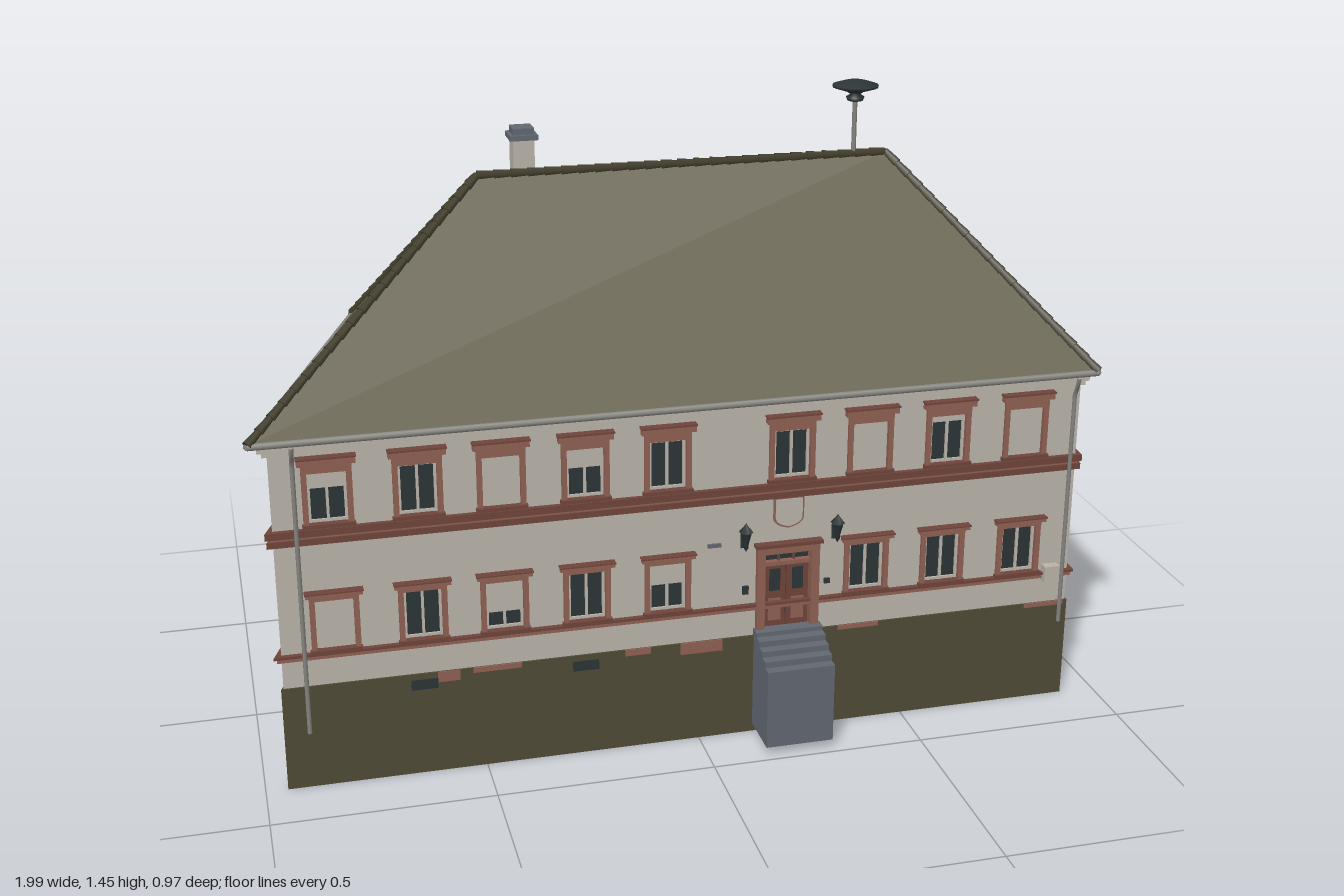
import * as THREE from 'three';

const paint = (name, color, side = THREE.FrontSide) => {
  const m = new THREE.MeshStandardMaterial({ color, side });
  m.name = name;
  return m;
};
const M = {
  wall: paint('plaster', 0xb9b3a9, THREE.DoubleSide),
  roof: paint('roof tiles', 0x5b5640, THREE.DoubleSide),
  plinth: paint('olive plinth', 0x4f4b37),
  red: paint('sandstone', 0x8f5f53),
  dark: paint('dark red', 0x6f443a),
  grey: paint('grey stone', 0x626771),
  black: paint('dark glass', 0x2c3436),
  lining: paint('green lining', 0x5b6d5e),
  ridge: paint('ridge tiles', 0x433f2e),
  metal: paint('gutter metal', 0x85837e),
};

function add(parent, name, geo, mat) {
  const m = new THREE.Mesh(geo, mat);
  m.name = name;
  parent.add(m);
  return m;
}
// Box given by its limits
function box(parent, name, mat, x0, x1, y0, y1, z0, z1) {
  const m = add(parent, name, new THREE.BoxGeometry(x1 - x0, y1 - y0, z1 - z0), mat);
  m.position.set((x0 + x1) / 2, (y0 + y1) / 2, (z0 + z1) / 2);
  return m;
}
// Round bar from a to b
function bar(parent, name, mat, a, b, r0, r1 = r0, sides = 8) {
  const d = b.clone().sub(a);
  const m = add(parent, name, new THREE.CylinderGeometry(r1, r0, d.length(), sides), mat);
  m.position.copy(a).add(b).multiplyScalar(0.5);
  m.quaternion.setFromUnitVectors(new THREE.Vector3(0, 1, 0), d.normalize());
  return m;
}

// Footprint corners as (x, -z): front left, front right, back right, back left
const foot = [[-0.945, -0.357], [0.912, -0.357], [0.955, 0.443], [-0.65, 0.443]].map(p => new THREE.Vector2(...p));
function offset(d) {
  return foot.map((p, i) => {
    const normal = (a, b) => new THREE.Vector2(b.y - a.y, a.x - b.x).normalize();
    const n1 = normal(foot[(i + 3) % 4], p), n2 = normal(p, foot[(i + 1) % 4]);
    return n1.clone().add(n2).multiplyScalar(d / (1 + n1.dot(n2))).add(p);
  });
}
// Course running all the way round the house
function ring(parent, name, mat, outer, inner, y0, y1) {
  const s = new THREE.Shape(offset(outer));
  s.holes.push(new THREE.Path(offset(inner)));
  const g = new THREE.ExtrudeGeometry(s, { depth: y1 - y0, bevelEnabled: false });
  g.rotateX(-Math.PI / 2).translate(0, y0, 0);
  return add(parent, name, g, mat);
}

const HALF = 0.042;
const sillOf = upper => (upper ? 0.637 : 0.338);

// Casement window; blind = covered share of the opening from the top
function makeWindow(parent, u, upper, blind) {
  const g = new THREE.Group();
  g.name = 'window';
  g.position.set(u, sillOf(upper), 0);
  parent.add(g);
  const h = 0.117, w = HALF, f = 0.006;
  box(g, 'glass', M.black, -w, w, 0, h, -0.014, -0.01);
  for (const s of [-1, 0, 1]) {
    const c = s * (w - f / 2);
    box(g, 'casement', M.wall, c - f / 2, c + f / 2, 0, h, -0.01, -0.004);
  }
  for (const y of [0, h - f]) box(g, 'casement', M.wall, -w, w, y, y + f, -0.01, -0.005);
  if (blind) box(g, 'blind', M.wall, -w + f, w - f, h * (1 - blind), h, -0.009, -0.003);
  for (const s of [-1, 1]) {
    const c = s * (w + 0.006);
    box(g, 'surround', M.red, c - 0.006, c + 0.006, -0.005, h, -0.012, 0.007);
  }
  const top = upper ? 0.138 : 0.129;
  box(g, 'lintel', M.red, -w - 0.012, w + 0.012, h, top, -0.012, 0.008);
  box(g, 'lintelCap', M.red, -w - 0.02, w + 0.02, top, top + (upper ? 0.014 : 0.009), 0, 0.018);
  box(g, 'lintelEdge', M.dark, -w - 0.022, w + 0.022, top + (upper ? 0.014 : 0.009), top + (upper ? 0.018 : 0.012), 0, 0.021);
  box(g, 'sill', M.dark, -w - 0.015, w + 0.015, -0.008, 0, -0.012, 0.013);
}

function makeDoor(parent, u) {
  const g = new THREE.Group();
  g.name = 'door';
  g.position.x = u;
  parent.add(g);
  box(g, 'doorBack', M.black, -0.055, 0.055, 0.25, 0.455, -0.018, -0.014);
  for (const s of [-1, 1]) {
    const c = s * 0.0275;
    box(g, 'doorLeaf', M.dark, c - 0.026, c + 0.026, 0.25, 0.423, -0.014, -0.006);
    box(g, 'doorPane', M.black, c - 0.013, c + 0.013, 0.355, 0.41, -0.006, -0.004);
    box(g, 'doorPanel', M.red, c - 0.015, c + 0.015, 0.28, 0.335, -0.006, -0.003);
    box(g, 'jamb', M.red, s * 0.065 - 0.01, s * 0.065 + 0.01, 0.25, 0.46, -0.015, 0.012);
  }
  box(g, 'transomBar', M.red, -0.055, 0.055, 0.42, 0.43, -0.014, 0);
  for (const x of [-0.018, 0.018]) box(g, 'transomBar', M.dark, x - 0.002, x + 0.002, 0.43, 0.455, -0.014, -0.005);
  box(g, 'doorLintel', M.red, -0.075, 0.075, 0.455, 0.474, -0.015, 0.014);
  box(g, 'doorCap', M.dark, -0.08, 0.08, 0.474, 0.482, 0, 0.022);
}

function makeLantern(parent, x) {
  const g = new THREE.Group();
  g.name = 'lantern';
  g.position.set(x, 0, 0.025);
  parent.add(g);
  const profile = [[0, 0.475], [0.006, 0.485], [0.006, 0.493], [0.013, 0.522], [0.017, 0.524], [0.005, 0.538], [0, 0.546]];
  add(g, 'lanternBody', new THREE.LatheGeometry(profile.map(p => new THREE.Vector2(...p)), 6), M.black);
  box(g, 'lanternArm', M.black, -0.003, 0.003, 0.486, 0.492, -0.025, 0);
  box(g, 'lanternPlate', M.black, -0.006, 0.006, 0.475, 0.51, -0.025, -0.021);
}

// One facade in its own frame: x runs along the wall, +z points outwards
function makeWall(parent, name, i, { windows = [], door, pipes = [], patches = [] }) {
  const a = foot[i], b = foot[(i + 1) % 4], len = a.distanceTo(b);
  const g = new THREE.Group();
  g.name = name;
  g.position.set(a.x, 0, -a.y);
  g.rotation.y = Math.atan2(b.y - a.y, b.x - a.x);
  parent.add(g);
  const rect = (C, x0, x1, y0, y1) => new C([[x0, y0], [x1, y0], [x1, y1], [x0, y1]].map(p => new THREE.Vector2(...p)));
  const s = rect(THREE.Shape, 0, len, 0.24, 0.835);
  for (const [u, upper] of windows) s.holes.push(rect(THREE.Path, u - HALF, u + HALF, sillOf(upper), sillOf(upper) + 0.117));
  if (door) s.holes.push(rect(THREE.Path, door - 0.055, door + 0.055, 0.25, 0.455));
  add(g, 'plaster', new THREE.ShapeGeometry(s), M.wall);
  for (const w of windows) makeWindow(g, ...w);
  if (door) makeDoor(g, door);
  for (const [u, end] of pipes) {
    const pts = [[0.825, 0.03], [0.81, 0.028], [0.785, 0.014], [0.74, 0.013], [end, 0.013]];
    const path = new THREE.CatmullRomCurve3(pts.map(p => new THREE.Vector3(u, ...p)), false, 'centripetal');
    add(g, 'downpipe', new THREE.TubeGeometry(path, 24, 0.005, 8), M.metal);
  }
  for (const [u0, u1, y] of patches) box(g, 'barePatch', M.red, u0, u1, y, 0.25, 0.002, 0.006);
}

export function createModel() {
  const house = new THREE.Group();
  house.name = 'house';

  // Facades: each window is [position, upper floor, blind share]
  const cols = [-0.824, -0.631, -0.449, -0.262, -0.075, 0.214, 0.4, 0.588, 0.78];
  const up = [0.32, 0, 1, 0.4, 0, 0, 1, 0.15, 1], low = [1, 0, 0.65, 0, 0.45, null, 0, 0, 0];
  const front = [];
  cols.forEach((x, i) => {
    front.push([x + 0.945, true, up[i]]);
    if (low[i] !== null) front.push([x + 0.945, false, low[i]]);
  });
  makeWall(house, 'frontWall', 0, {
    windows: front, door: 1.154, pipes: [[0.05, 0.14], [1.838, 0.2]],
    patches: [[0.34, 0.39, 0.225], [0.42, 0.53, 0.238], [0.77, 0.83, 0.235], [0.9, 1, 0.222], [1.28, 1.38, 0.24], [1.75, 1.85, 0.24]],
  });
  makeWall(house, 'rightWall', 1, { patches: [[0.31, 0.34, 0.24], [0.65, 0.73, 0.222]] });
  const backCols = [0.115, 0.335, 0.565, 0.8, 1.03, 1.255, 1.485];
  const backUp = [0, 0, 0, 1, 0, 0, 0], backLow = [0, 0, 0.5, 1, 0, 0, 0.5];
  makeWall(house, 'backWall', 2, {
    windows: backCols.flatMap((u, i) => [[u, true, backUp[i]], [u, false, backLow[i]]]),
    pipes: [[0.035, 0.11]],
    patches: [[0.2, 0.32, 0.235], [0.5, 0.6, 0.228], [0.9, 1.02, 0.235], [1.3, 1.42, 0.238]],
  });
  makeWall(house, 'leftWall', 3, {
    windows: [[0.13, true, 0], [0.13, false, 0], [0.71, true, 0], [0.71, false, 0.4]],
    patches: [[0.3, 0.4, 0.238]],
  });

  // Plinth, string courses and stepped cornice
  ring(house, 'plinth', M.plinth, 0.004, 0, 0, 0.25);
  ring(house, 'plinthLining', M.lining, 0, -0.004, 0, 0.25);
  ring(house, 'lowerCourse', M.red, 0.007, 0, 0.316, 0.326);
  ring(house, 'lowerCourseEdge', M.dark, 0.012, 0, 0.326, 0.332);
  ring(house, 'upperCourseBase', M.dark, 0.01, 0, 0.591, 0.605);
  ring(house, 'upperCourse', M.red, 0.006, 0, 0.605, 0.611);
  ring(house, 'upperCourseEdge', M.dark, 0.012, 0, 0.611, 0.627);
  [0.008, 0.015, 0.022].forEach((d, i) => ring(house, 'cornice', M.wall, d, 0, 0.8 + i * 0.012, 0.812 + i * 0.012));

  // Hipped roof
  const V = (x, y, z) => new THREE.Vector3(x, y, z);
  const E = [V(-0.985, 0.838, 0.384), V(0.94, 0.838, 0.384), V(0.99, 0.838, -0.478), V(-0.68, 0.838, -0.478)];
  const RL = V(-0.42, 1.278, -0.045), RR = V(0.56, 1.278, -0.045);
  const tris = [E[0], E[1], RR, E[0], RR, RL, E[1], E[2], RR, E[2], E[3], RL, E[2], RL, RR, E[3], E[0], RL];
  const roofGeo = new THREE.BufferGeometry().setFromPoints(tris);
  roofGeo.computeVertexNormals();
  add(house, 'roof', roofGeo, M.roof);
  ring(house, 'eaves', M.metal, 0.024, 0, 0.831, 0.838);
  E.forEach((e, i) => bar(house, 'gutter', M.metal, e.clone().setY(0.834), E[(i + 1) % 4].clone().setY(0.834), 0.008));

  // Overlapping ridge and hip tiles
  for (const [a, b] of [[E[0], RL], [E[3], RL], [E[1], RR], [E[2], RR], [RL, RR]]) {
    const n = Math.round(a.distanceTo(b) / 0.04);
    for (let i = 0; i < n; i++) {
      bar(house, 'ridgeTile', M.ridge, a.clone().lerp(b, i / n), a.clone().lerp(b, (i + 1) / n), 0.012, 0.009, 6);
    }
  }

  // Skylight lying in the right slope
  const sky = new THREE.Group();
  sky.name = 'skylight';
  sky.position.set(0.829, 0.988, -0.042);
  const n = E[2].clone().sub(E[1]).cross(RR.clone().sub(E[1])).normalize();
  sky.lookAt(sky.position.clone().add(n));
  house.add(sky);
  box(sky, 'skylightFrame', M.wall, -0.031, 0.031, -0.044, 0.044, -0.01, 0.007);
  box(sky, 'skylightGlass', M.black, -0.025, 0.025, -0.037, 0.037, 0.007, 0.01);

  // Chimney
  box(house, 'chimney', M.wall, -0.321, -0.271, 1.1, 1.335, -0.175, -0.123);
  box(house, 'chimneyCap', M.grey, -0.329, -0.263, 1.335, 1.347, -0.183, -0.115);
  box(house, 'chimneyTop', M.grey, -0.321, -0.271, 1.347, 1.362, -0.175, -0.123);

  // Siren on a pole
  bar(house, 'sirenPole', M.metal, V(0.48, 1.26, -0.045), V(0.48, 1.41, -0.045), 0.006);
  const dish = [[0, 1.4], [0.018, 1.405], [0.022, 1.413], [0.012, 1.42], [0.02, 1.426], [0.054, 1.437], [0.054, 1.442], [0.025, 1.451], [0, 1.454]];
  add(house, 'siren', new THREE.LatheGeometry(dish.map(p => new THREE.Vector2(...p)), 20), M.black).position.set(0.48, 0, -0.045);

  // Entrance stairs
  const steps = [[0.48, 0.213], [0.457, 0.228], [0.433, 0.242], [0.409, 0.256], [0.385, 0.267]];
  const side = new THREE.Shape();
  side.moveTo(0.355, 0.02).lineTo(0.48, 0.02);
  steps.forEach(([z, y], i) => side.lineTo(z, y).lineTo(i < 4 ? steps[i + 1][0] : 0.355, y));
  const stairGeo = new THREE.ExtrudeGeometry(side, { depth: 0.16, bevelEnabled: false });
  stairGeo.rotateY(-Math.PI / 2).translate(0.29, 0, 0);
  add(house, 'stairs', stairGeo, M.grey);

  // Fittings on the front: lanterns, blank shield, vents and small boxes
  const fit = new THREE.Group();
  fit.name = 'frontFittings';
  fit.position.z = 0.357;
  house.add(fit);
  for (const x of [0.102, 0.32]) makeLantern(fit, x);
  for (const [k, mat, d] of [[1, M.red, 0.005], [0.88, M.wall, 0.008]]) {
    const s = new THREE.Shape();
    s.moveTo(-0.036 * k, 0.036 * k).lineTo(-0.036 * k, -0.015 * k).quadraticCurveTo(-0.034 * k, -0.034 * k, 0, -0.04 * k);
    s.quadraticCurveTo(0.034 * k, -0.034 * k, 0.036 * k, -0.015 * k).lineTo(0.036 * k, 0.036 * k);
    add(fit, 'blankShield', new THREE.ExtrudeGeometry(s, { depth: d, bevelEnabled: false }), mat).position.set(0.209, 0.555, 0);
  }
  for (const x of [-0.635, -0.267]) box(fit, 'vent', M.black, x - 0.03, x + 0.03, 0.212, 0.236, 0.002, 0.007);
  box(fit, 'smallPlate', M.grey, 0.018, 0.05, 0.483, 0.492, 0, 0.005);
  box(fit, 'bellBox', M.black, 0.102, 0.116, 0.358, 0.378, 0, 0.006);
  box(fit, 'letterSlot', M.black, 0.298, 0.312, 0.364, 0.376, 0, 0.006);
  box(fit, 'meterBox', M.wall, 0.845, 0.883, 0.31, 0.35, 0, 0.022);
  return house;
}
